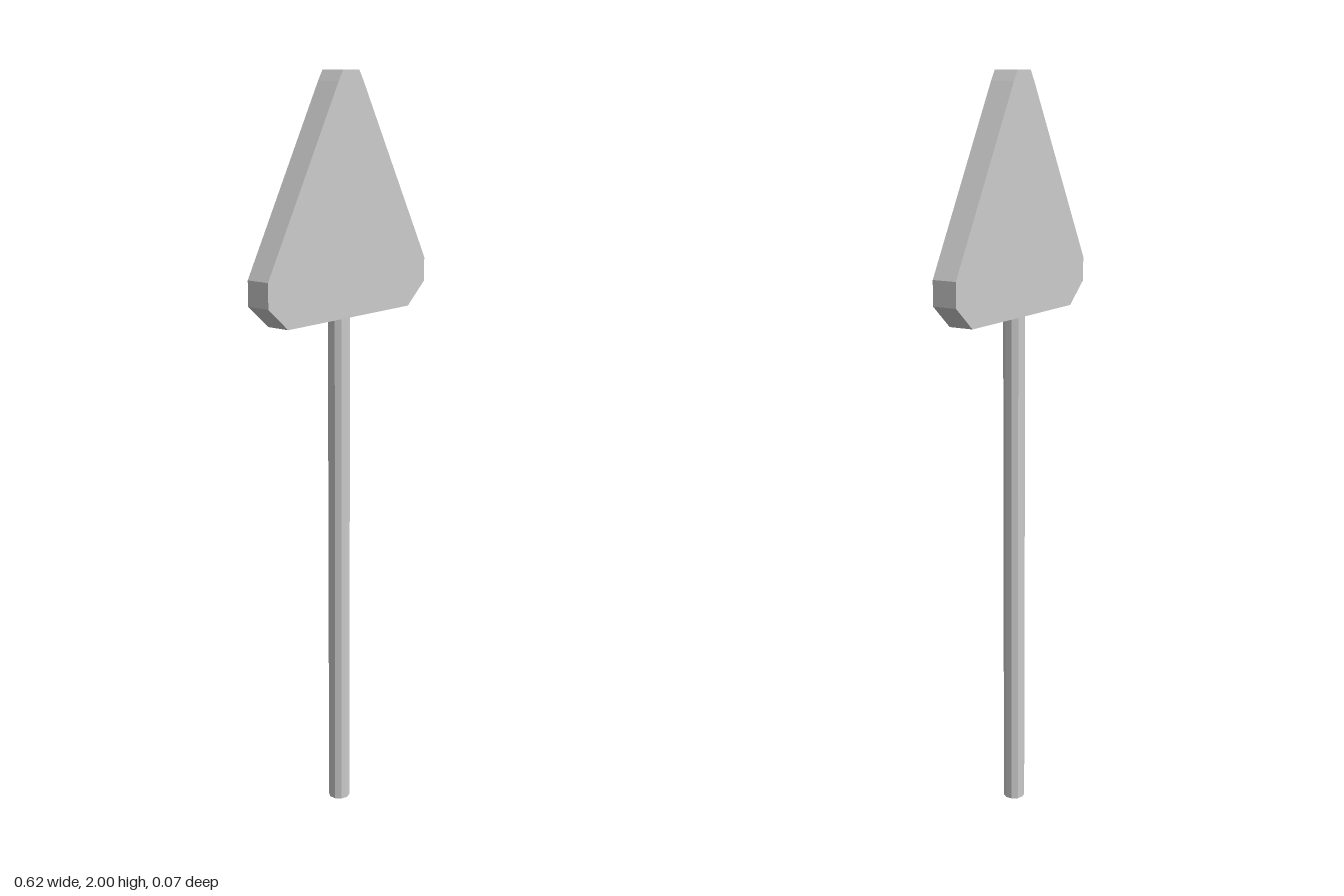
import * as THREE from 'three';

const material = new THREE.MeshStandardMaterial({ color: 0xcccccc, flatShading: true });
const poleMaterial = material.clone();
poleMaterial.side = THREE.DoubleSide;

export function createModel() {
  const model = new THREE.Group();
  model.name = 'roadSign';

  // Triangular panel with clipped corners: right half, mirrored for the left
  const half = [[0.24, 1.38], [0.31, 1.44], [0.31, 1.505], [0.048, 1.973], [0.031, 2]];
  const outline = [...half, ...half.map(([x, y]) => [-x, y]).reverse()];
  const shape = new THREE.Shape(outline.map(([x, y]) => new THREE.Vector2(x, y)));
  const depth = 0.068;
  const panelGeometry = new THREE.ExtrudeGeometry(shape, { depth, bevelEnabled: false });
  panelGeometry.translate(0, 0, -depth / 2);
  const panel = new THREE.Mesh(panelGeometry, material);
  panel.name = 'signPanel';
  model.add(panel);

  // Slightly off-centre ten-sided hollow pole
  const height = 1.38;
  const pole = new THREE.Mesh(
    new THREE.CylinderGeometry(0.029, 0.029, height, 10, 1, true), poleMaterial);
  pole.name = 'pole';
  pole.position.set(-0.01, height / 2, 0.002);
  model.add(pole);

  return model;
}
